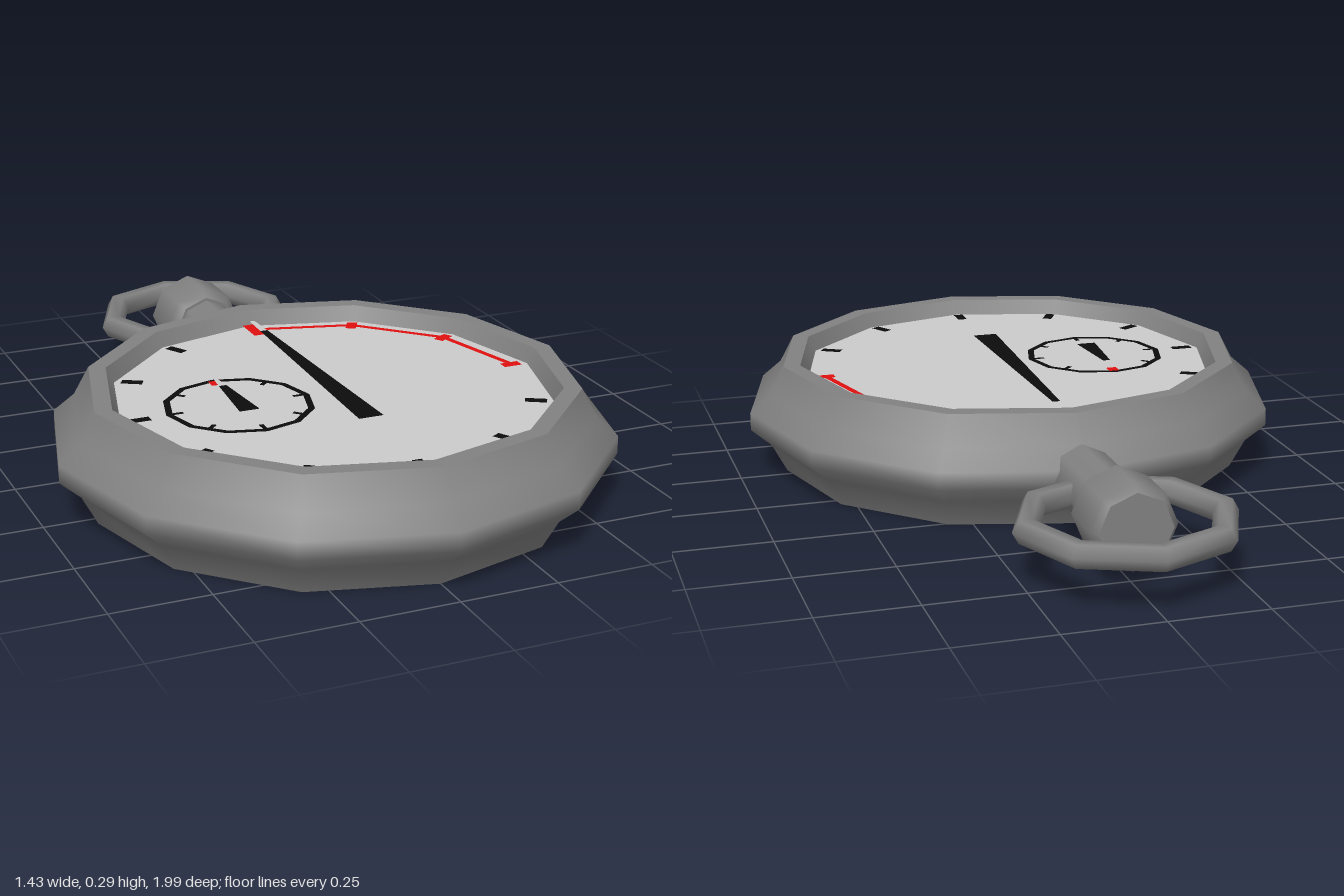
import * as THREE from 'three';

const SIDES = 12, CZ = 0.28, DIAL_Y = 0.25, AXIS_Y = 0.14;
const mat = (color, side = THREE.FrontSide) => new THREE.MeshStandardMaterial({ color, side });

export function createModel() {
  const model = new THREE.Group();
  const metal = mat(0x828282);
  const pale = mat(0xcccccc);
  const black = mat(0x0c0c0c, THREE.DoubleSide);
  const red = mat(0xe01010, THREE.DoubleSide);
  const white = mat(0xdddddd, THREE.DoubleSide);

  const add = (parent, name, geometry, material, x = 0, y = 0, z = 0) => {
    const mesh = new THREE.Mesh(geometry, material);
    mesh.name = name;
    mesh.position.set(x, y, z);
    parent.add(mesh);
    return mesh;
  };
  const lathe = (pts, sides) =>
    new THREE.LatheGeometry(pts.map(([r, y]) => new THREE.Vector2(r, y)), sides);

  // Case: each list is one smooth band, with hard edges between bands
  const body = new THREE.Group();
  body.name = 'case';
  body.position.z = CZ;
  model.add(body);
  const bands = {
    caseBack: [[0, 0], [0.62, 0]],
    caseSide: [[0.62, 0], [0.66, 0.075], [0.714, 0.122], [0.714, 0.168], [0.66, 0.215], [0.62, 0.29]],
    bezelTop: [[0.62, 0.29], [0.575, 0.29]],
    bezelInner: [[0.575, 0.29], [0.555, DIAL_Y]],
  };
  for (const [name, pts] of Object.entries(bands)) add(body, name, lathe(pts, SIDES), metal);
  add(body, 'dial', lathe([[0.556, DIAL_Y], [0, DIAL_Y]], SIDES), pale);

  // Flat trapezium in the dial plane, running from z0 (width w0) to z1 (width w1)
  const blade = (z0, w0, z1, w1) => {
    const s = new THREE.Shape();
    s.moveTo(-w0 / 2, -z0);
    s.lineTo(w0 / 2, -z0);
    s.lineTo(w1 / 2, -z1);
    s.lineTo(-w1 / 2, -z1);
    return new THREE.ShapeGeometry(s).rotateX(-Math.PI / 2);
  };
  const face = new THREE.Group();
  face.name = 'dialMarkings';
  face.position.set(0, DIAL_Y, CZ);
  model.add(face);

  // Hour marks, the first four red
  const R = 0.508;
  for (let i = 0; i < 12; i++) {
    const [len, w] = i === 0 ? [0.088, 0.042] : i < 4 ? [0.05, 0.028] : [0.055, 0.026];
    const tick = add(face, 'hourMark', blade(-R + len / 2, w, -R - len / 2, w), i < 4 ? red : black, 0, 0.004, 0);
    tick.rotation.y = -i * Math.PI / 6;
  }
  // Red line joining the first four marks
  for (let i = 0; i < 3; i++) {
    const half = R * Math.sin(Math.PI / 12), mid = R * Math.cos(Math.PI / 12);
    const bar = new THREE.PlaneGeometry(2 * half, 0.017).rotateX(-Math.PI / 2).translate(0, 0, -mid);
    add(face, 'redArc', bar, red, 0, 0.005, 0).rotation.y = -(i + 0.5) * Math.PI / 6;
  }
  // Main hand with a pale tip
  add(face, 'mainHand', blade(0.235, 0.065, -0.45, 0.02), black, 0, 0.02, 0);
  add(face, 'mainHandTip', blade(-0.45, 0.02, -0.535, 0.014), white, 0, 0.02, 0);

  // Small counter dial
  const counter = new THREE.Group();
  counter.name = 'counterDial';
  counter.position.set(-0.25, 0.005, 0);
  face.add(counter);
  add(counter, 'counterRing', new THREE.RingGeometry(0.172, 0.189, 12).rotateX(-Math.PI / 2), black);
  for (let i = 0; i < 8; i++) {
    const w = i === 0 ? 0.028 : 0.012;
    const tick = add(counter, 'counterMark', blade(-0.145, w, -0.177, w), i === 0 ? red : black, 0, 0.001, 0);
    tick.rotation.y = -i * Math.PI / 4;
  }
  add(counter, 'counterHand', blade(0.073, 0.052, -0.11, 0.02), black, 0, 0.012, 0);
  add(counter, 'counterHandTip', blade(-0.11, 0.02, -0.16, 0.01), white, 0, 0.012, 0);

  // Stem and crown, turned about an axis pointing to the back
  const winder = new THREE.Group();
  winder.name = 'winder';
  winder.position.y = AXIS_Y;
  winder.rotation.x = -Math.PI / 2;
  model.add(winder);
  add(winder, 'stem', lathe([[0.08, 0.34], [0.08, 0.62]], 8), metal);
  const crown = {
    crownBase: [[0, 0.612], [0.088, 0.612]],
    crownSide: [[0.088, 0.612], [0.109, 0.635], [0.109, 0.768], [0.092, 0.79]],
    crownCap: [[0.092, 0.79], [0, 0.79]],
  };
  for (const [name, pts] of Object.entries(crown)) add(winder, name, lathe(pts, 8), metal);

  // Hanging ring
  const ring = new THREE.TorusGeometry(0.246, 0.033, 6, 8).rotateX(Math.PI / 2);
  add(model, 'bow', ring, metal, 0, AXIS_Y, -0.721);

  return model;
}
